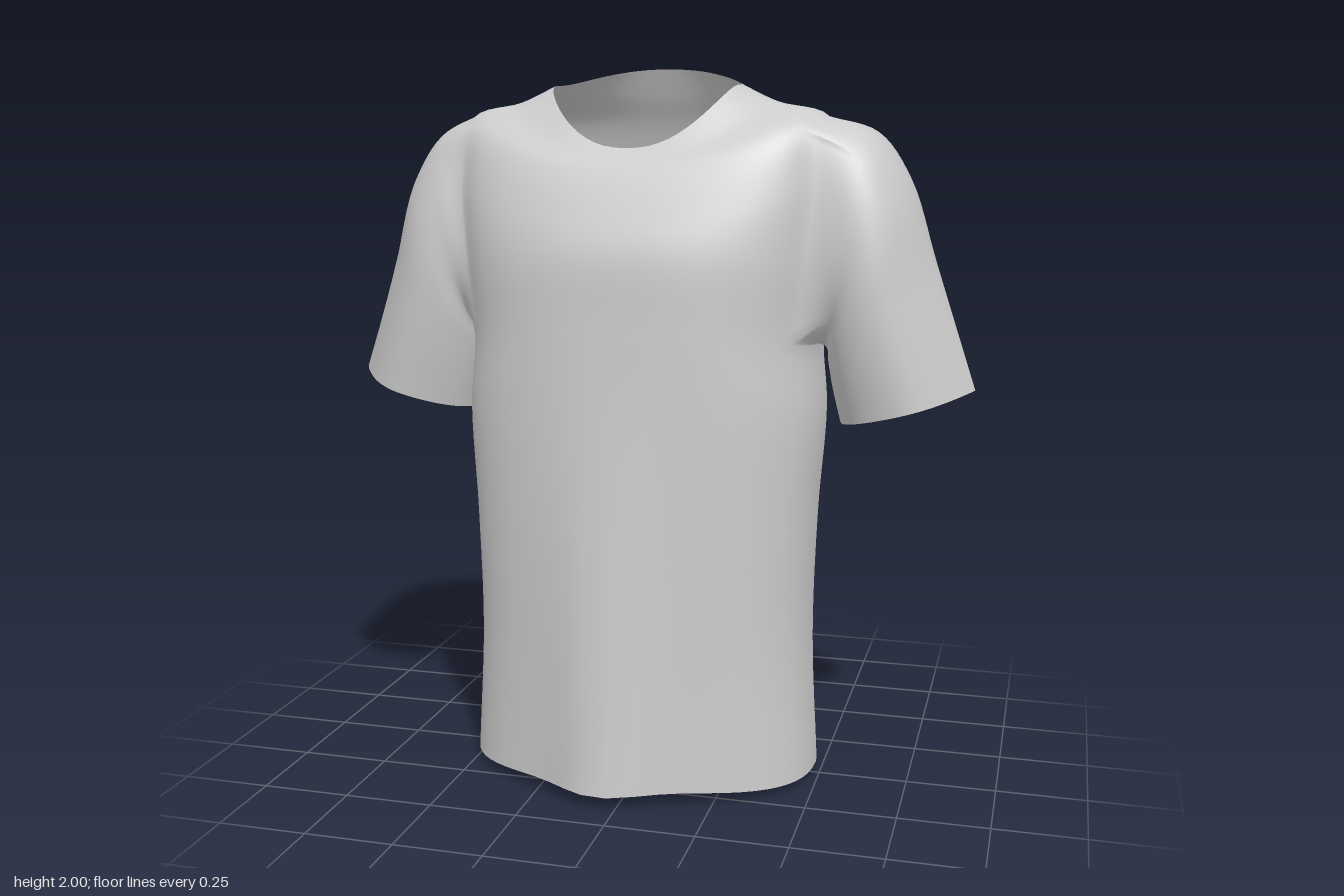
import * as THREE from 'three';

const COLS = 64, SUB = 6;      // columns around the torso, rows between key rings
const FRONT = 5, BACK = 7;     // armhole reach in columns from the side line
const CX = -0.02, CZ = -0.03;  // torso axis

// Key rings, hem to neck:
// half width, front z, back z, y at front / side / back, squareness of front / back
const RINGS = [
  [0.505, 0.335, -0.42, 0.04, 0.02, 0.0, 2.4, 1.85],
  [0.485, 0.335, -0.415, 0.4, 0.4, 0.4, 2.4, 2.0],
  [0.49, 0.335, -0.405, 0.8, 0.75, 0.8, 2.5, 2.4],
  [0.505, 0.335, -0.395, 1.12, 1.05, 1.12, 2.5, 2.9],
  [0.49, 0.335, -0.39, 1.32, 1.25, 1.32, 2.5, 3.1],
  [0.515, 0.325, -0.385, 1.5, 1.5, 1.52, 2.5, 3.2],
  [0.53, 0.285, -0.37, 1.62, 1.72, 1.7, 2.5, 3.2],
  [0.5, 0.24, -0.325, 1.72, 1.865, 1.83, 2.5, 2.9],
  [0.36, 0.215, -0.275, 1.755, 1.905, 1.92, 2.3, 2.4],
  [0.26, 0.195, -0.235, 1.78, 1.95, 2.0, 2.3, 2.2],
];
const HOLE_LOW = 4 * SUB, HOLE_TOP = 7 * SUB;

// Sleeve rings, shoulder to cuff:
// outer x, y, inner x, y, front z, back z, pointedness of the outer edge
const SLEEVE = [
  [0.61, 1.825, 0.495, 1.23, 0.16, -0.29, 0.65],
  [0.705, 1.7, 0.5, 1.185, 0.165, -0.29, 0.9],
  [0.785, 1.47, 0.51, 1.13, 0.155, -0.265, 1.4],
  [0.9, 1.13, 0.535, 1.03, 0.13, -0.225, 2],
];

const power = (v, p) => Math.sign(v) * Math.abs(v) ** p;

function torsoPoint([hw, zF, zB, yF, yS, yB, nF, nB], angle) {
  const c = Math.cos(angle), s = Math.sin(angle);
  const front = s > 0;
  const n = front ? nF : nB;
  const x = CX + hw * power(c, 2 / n);
  const y = yS + ((front ? yF : yB) - yS) * s * s;
  let z = CZ + (front ? zF - CZ : CZ - zB) * power(s, 2 / n);
  // soft hanging fold down the front, growing towards the hem
  if (front) z += 0.09 * Math.max(0, 1 - y / 1.25) * Math.exp(-(((x + 0.05) / 0.15) ** 2)) * s;
  return new THREE.Vector3(x, y, z);
}

function sleevePoint([ox, oy, ix, iy, zF, zB, point], angle, side) {
  const c = Math.cos(angle), s = Math.sin(angle);
  return new THREE.Vector3(
    side * ((ox + ix) / 2 + ((ox - ix) / 2) * c),
    (oy + iy) / 2 + ((oy - iy) / 2) * c,
    (zF + zB) / 2 + ((zF - zB) / 2) * power(s, c > 0 ? point : 0.85));
}

export function createModel() {
  const pos = [];
  const add = (p) => pos.push(p.x, p.y, p.z) / 3 - 1;
  const vertex = (id) => new THREE.Vector3().fromArray(pos, id * 3);
  const quad = (list, a, b, d, e) => list.push(a, d, b, b, d, e);

  // Torso grid: one smooth curve per column, hem to neck
  const rows = (RINGS.length - 1) * SUB;
  const grid = Array.from({ length: rows + 1 }, () => []);
  for (let j = 0; j < COLS; j++) {
    const angle = (j / COLS) * Math.PI * 2;
    const curve = new THREE.CatmullRomCurve3(RINGS.map((r) => torsoPoint(r, angle)));
    for (let i = 0; i <= rows; i++) grid[i][j] = add(curve.getPoint(i / rows));
  }
  const at = (i, j) => grid[i][(j + COLS) % COLS];

  // Armholes as column ranges, left then right
  const holes = [
    { name: 'leftSleeve', side: 1, from: -BACK, to: FRONT },
    { name: 'rightSleeve', side: -1, from: COLS / 2 - FRONT, to: COLS / 2 + BACK },
  ];
  const parts = { torso: [] };
  for (let i = 0; i < rows; i++) {
    for (let j = -COLS / 4; j < COLS * 0.75; j++) {
      const open = i >= HOLE_LOW && i < HOLE_TOP && holes.some((h) => j >= h.from && j < h.to);
      if (!open) quad(parts.torso, at(i, j), at(i, j + 1), at(i + 1, j), at(i + 1, j + 1));
    }
  }

  // Sleeves grow out of the armhole edges; each edge vertex is paired with
  // a torso vertex just outside the hole that sets the starting direction
  for (const { name, side, from, to } of holes) {
    const loop = [];
    for (let j = from; j < to; j++) loop.push([at(HOLE_LOW, j), at(HOLE_LOW - 1, j)]);
    for (let i = HOLE_LOW; i < HOLE_TOP; i++) loop.push([at(i, to), at(i, to + 2)]);
    for (let j = to; j > from; j--) loop.push([at(HOLE_TOP, j), at(HOLE_TOP + 4, j)]);
    for (let i = HOLE_TOP; i > HOLE_LOW; i--) loop.push([at(i, from), at(i, from - 2)]);

    const steps = SLEEVE.length * SUB;
    const columns = loop.map(([id, outside]) => {
      const start = vertex(id);
      const angle = Math.atan2((start.z + 0.06) / 0.23, (start.y - 1.55) / 0.31);
      const curve = new THREE.CatmullRomCurve3(
        [vertex(outside), start, ...SLEEVE.map((r) => sleevePoint(r, angle, side))]);
      const ids = [id];
      for (let k = 1; k <= steps; k++) ids.push(add(curve.getPoint((SUB + k) / (SUB + steps))));
      return ids;
    });
    parts[name] = [];
    columns.forEach((a, n) => {
      const b = columns[(n + 1) % columns.length];
      for (let k = 0; k < steps; k++) quad(parts[name], a[k], b[k], a[k + 1], b[k + 1]);
    });
  }

  // Normals are worked out over the whole garment so the seams stay smooth
  const whole = new THREE.BufferGeometry();
  whole.setAttribute('position', new THREE.Float32BufferAttribute(pos, 3));
  whole.setIndex(Object.values(parts).flat());
  whole.computeVertexNormals();

  const material = new THREE.MeshStandardMaterial({ color: 0xcccccc, side: THREE.DoubleSide });
  const shirt = new THREE.Group();
  shirt.name = 'shirt';
  for (const [name, index] of Object.entries(parts)) {
    const geometry = new THREE.BufferGeometry();
    geometry.setAttribute('position', whole.getAttribute('position'));
    geometry.setAttribute('normal', whole.getAttribute('normal'));
    geometry.setIndex(index);
    const mesh = new THREE.Mesh(geometry, material);
    mesh.name = name;
    shirt.add(mesh);
  }
  return shirt;
}
